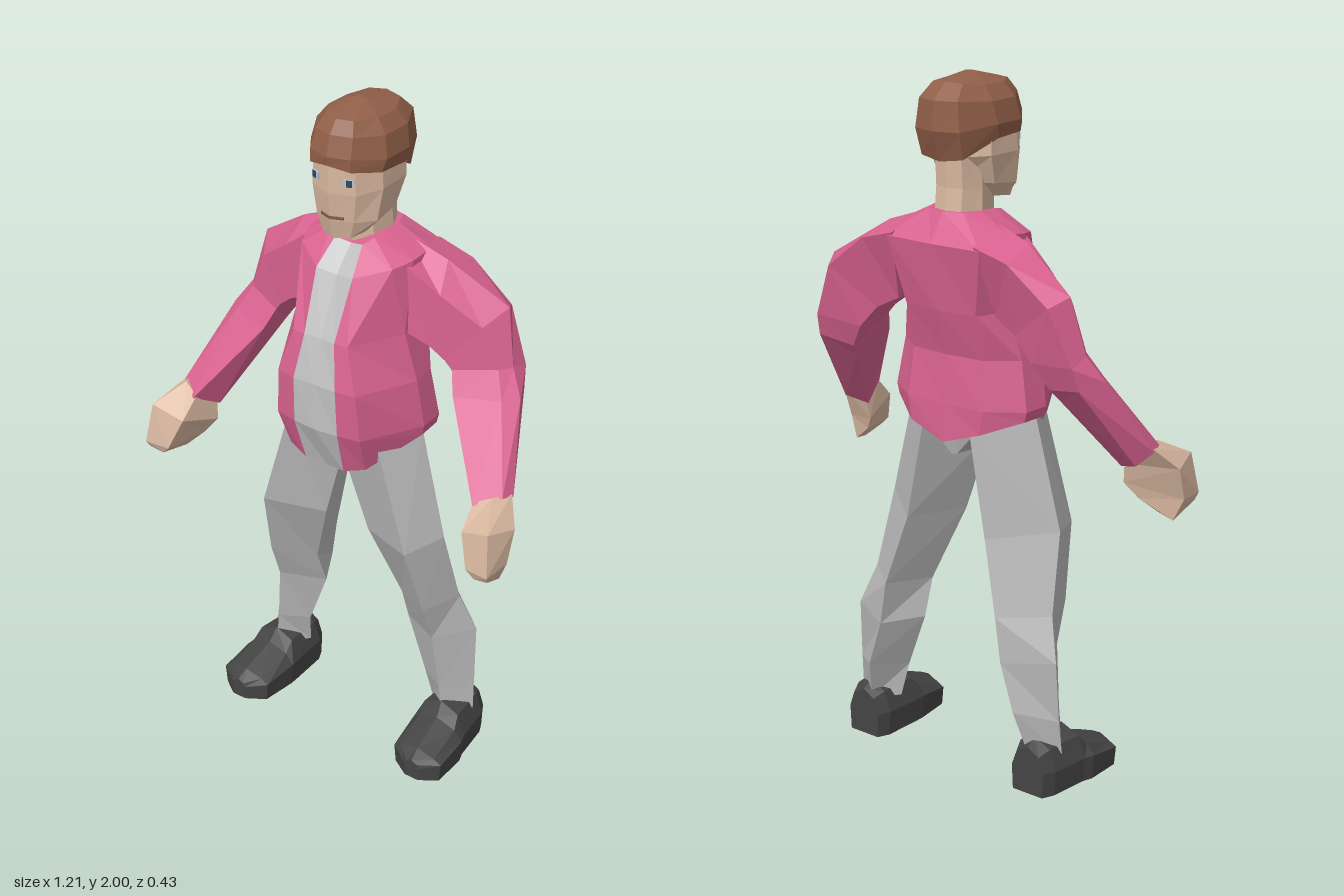
import * as THREE from 'three';

const paint = (name, color) => {
  const m = new THREE.MeshStandardMaterial({ color });
  m.name = name;
  m.flatShading = true;
  return m;
};

// Skins closed cross-sections into a solid; colMat picks a material per column
function loft(name, rings, mats, { colMat = () => 0, capMats = [0, 0], mirror = 1 } = {}) {
  const P = rings.map(r => r.map(p => new THREE.Vector3(p[0] * mirror, p[1], p[2])));
  const n = P[0].length, tris = [];
  for (let i = 0; i + 1 < P.length; i++) {
    for (let j = 0; j < n; j++) {
      const k = (j + 1) % n, m = colMat(j);
      tris.push([m, P[i][j], P[i][k], P[i + 1][k]], [m, P[i][j], P[i + 1][k], P[i + 1][j]]);
    }
  }
  [P[0], P[P.length - 1]].forEach((r, e) => {
    const c = r.reduce((s, p) => s.add(p), new THREE.Vector3()).divideScalar(n);
    for (let j = 0; j < n; j++) {
      const a = r[j], b = r[(j + 1) % n];
      tris.push(e ? [capMats[e], c, a, b] : [capMats[e], c, b, a]);
    }
  });
  // Face outwards whichever way the sections were listed
  const volume = tris.reduce((s, [, a, b, c]) => s + a.dot(b.clone().cross(c)), 0);
  const pos = [], geo = new THREE.BufferGeometry(), list = [mats].flat();
  list.forEach((_, m) => {
    const start = pos.length / 3;
    tris.filter(t => t[0] === m).forEach(([, a, b, c]) =>
      (volume < 0 ? [a, c, b] : [a, b, c]).forEach(p => pos.push(p.x, p.y, p.z)));
    geo.addGroup(start, pos.length / 3 - start, m);
  });
  geo.setAttribute('position', new THREE.Float32BufferAttribute(pos, 3));
  geo.computeVertexNormals();
  const mesh = new THREE.Mesh(geo, list.length > 1 ? list : list[0]);
  mesh.name = name;
  return mesh;
}

// Full section from its +x half, front centre to back centre
const sym = half => [...half, ...half.slice(1, -1).reverse().map(([x, y, z]) => [-x, y, z])];

export function createModel() {
  const g = new THREE.Group();
  g.name = 'standingMan';
  const jacket = paint('jacketPink', 0xd8628f), shirt = paint('shirtGrey', 0xc2c2c2);
  const trousers = paint('trouserGrey', 0xb8b8b8), skin = paint('skin', 0xd9b8a0);
  const hair = paint('hairBrown', 0x915f48), shoe = paint('shoeBlack', 0x444444);
  const eyeWhite = paint('eyeWhite', 0xb9c6d0), iris = paint('irisBlue', 0x2f4a5e);
  const lip = paint('lipBrown', 0x8a5a4c);

  // Jacket body with the shirt showing down the middle
  const torso = [
    [[0, 1.6, .01], [.045, 1.61, .02], [.07, 1.63, 0], [.08, 1.635, -.04], [.08, 1.64, -.1], [.06, 1.64, -.15], [0, 1.64, -.165]],
    [[0, 1.53, .075], [.06, 1.54, .085], [.15, 1.57, .03], [.175, 1.58, -.03], [.18, 1.59, -.11], [.16, 1.56, -.21], [0, 1.56, -.217]],
    [[0, 1.37, .148], [.05, 1.37, .155], [.09, 1.37, .15], [.18, 1.38, .01], [.18, 1.38, -.1], [.12, 1.37, -.175], [0, 1.37, -.19]],
    [[0, 1.24, .18], [.07, 1.24, .18], [.13, 1.24, .17], [.215, 1.24, 0], [.205, 1.24, -.08], [.12, 1.24, -.145], [0, 1.24, -.155]],
    [[0, 1.1, .182], [.073, 1.1, .175], [.14, 1.1, .162], [.235, 1.1, -.01], [.23, 1.1, -.09], [.13, 1.1, -.16], [0, 1.1, -.165]],
    [[0, .96, .125], [.065, .965, .135], [.13, .985, .12], [.228, 1.07, -.01], [.222, 1.07, -.09], [.12, 1.03, -.16], [0, .99, -.17]],
  ].map(sym);
  g.add(loft('jacketBody', torso, [jacket, shirt, trousers], {
    colMat: j => (j === 0 || j === 11 ? 1 : 0), capMats: [0, 2],
  }));

  // Seat of the trousers
  g.add(loft('trouserSeat', [
    [[0, 1.06, .1], [.12, 1.06, .09], [.19, 1.06, -.03], [.12, 1.06, -.14], [0, 1.06, -.15]],
    [[0, .935, .07], [.012, .938, .06], [.02, .94, -.03], [.012, .945, -.12], [0, .945, -.13]],
  ].map(sym), trousers));

  // Sleeve sections: top, front, inner, lower back, upper back
  const sleeve = [
    [[.11, 1.62, -.09], [.165, 1.57, -.01], [.175, 1.38, 0], [.17, 1.37, -.15], [.14, 1.57, -.212]],
    [[.24, 1.575, -.1], [.26, 1.5, -.035], [.235, 1.345, -.025], [.24, 1.335, -.16], [.25, 1.54, -.21]],
    [[.41, 1.465, -.145], [.37, 1.42, -.075], [.28, 1.31, -.035], [.3, 1.27, -.165], [.38, 1.44, -.205]],
    [[.445, 1.305, -.12], [.42, 1.305, -.085], [.3, 1.285, -.04], [.345, 1.2, -.145], [.445, 1.285, -.185]],
    [[.49, 1.235, -.09], [.455, 1.235, -.05], [.325, 1.225, -.01], [.36, 1.165, -.115], [.455, 1.22, -.165]],
    [[.56, 1.02, .04], [.55, 1.03, .08], [.485, 1.005, .125], [.455, .96, .04], [.52, .98, .012]],
  ];
  // Hand sections: outer back, outer front, inner front, inner back
  const hand = [
    [[.555, 1.03, .04], [.53, 1.035, .1], [.48, 1.01, .115], [.465, .97, .04]],
    [[.605, .965, .1], [.58, .985, .195], [.485, .95, .175], [.457, .91, .05]],
    [[.603, .87, .13], [.595, .865, .217], [.52, .86, .205], [.49, .865, .075]],
    [[.575, .805, .12], [.59, .845, .205], [.545, .835, .2], [.53, .825, .11]],
  ];
  // Trouser leg sections: outer, front, inner, back
  const leg = [
    [[.215, 1.08, -.03], [.15, 1.07, .1], [0, .96, .05], [.08, 1.04, -.155]],
    [[.3, .75, -.025], [.25, .735, .1], [.075, .72, .03], [.14, .73, -.16]],
    [[.32, .52, -.085], [.275, .52, .04], [.155, .5, -.03], [.2, .52, -.19]],
    [[.36, .4, -.12], [.28, .4, -.005], [.152, .39, -.07], [.22, .39, -.192]],
    [[.365, .22, -.11], [.3, .22, -.02], [.215, .22, -.07], [.265, .25, -.192]],
    [[.37, .12, -.1], [.31, .12, -.02], [.23, .12, -.09], [.29, .12, -.155]],
  ];
  // Shoe: z, centre x, half width, top height
  const foot = [
    [-.175, .305, .055, .15], [-.14, .305, .073, .168], [-.02, .31, .084, .17],
    [.01, .315, .09, .13], [.12, .322, .083, .09], [.155, .325, .025, .07],
  ].map(([z, c, w, h]) => [[-.93, .005], [.93, .005], [1, Math.min(.08, h * .7)], [.7, h * .85], [0, h], [-.7, h * .85], [-1, Math.min(.08, h * .7)]]
    .map(([x, y]) => [c + x * w, y, z]));

  // Face plate pressed onto the slanted front of the head
  const plate = (name, mat, s, x, y, z, w, h) => {
    const m = new THREE.Mesh(new THREE.BoxGeometry(w, h, .008), mat);
    m.name = name;
    m.position.set(s * x, y, z);
    m.rotation.y = s * .37;
    g.add(m);
  };

  for (const [side, mirror] of [['left', 1], ['right', -1]]) {
    g.add(loft(side + 'Sleeve', sleeve, jacket, { mirror }));
    g.add(loft(side + 'Hand', hand, skin, { mirror }));
    g.add(loft(side + 'TrouserLeg', leg, trousers, { mirror }));
    g.add(loft(side + 'Shoe', foot, shoe, { mirror }));
    plate(side + 'EyeWhite', eyeWhite, mirror, .052, 1.815, .091, .03, .02);
    plate(side + 'Iris', iris, mirror, .055, 1.815, .0915, .015, .019);
    plate(side + 'Mouth', lip, mirror, .018, 1.71, .096, .038, .008);
  }

  // Neck
  g.add(loft('neck', [
    [[0, 1.56, 0], [.06, 1.56, -.02], [.075, 1.56, -.09], [.045, 1.56, -.15], [0, 1.56, -.16]],
    [[0, 1.7, .01], [.055, 1.7, -.01], [.07, 1.7, -.08], [.045, 1.7, -.135], [0, 1.7, -.145]],
    [[0, 1.8, .01], [.055, 1.8, -.01], [.07, 1.8, -.08], [.045, 1.8, -.14], [0, 1.8, -.15]],
  ].map(sym), skin));

  // Head
  g.add(loft('head', [
    [[0, 1.645, .09], [.045, 1.65, .075], [.065, 1.66, .03], [.06, 1.665, -.02], [0, 1.665, -.03]],
    [[0, 1.7, .103], [.06, 1.7, .08], [.1, 1.7, .03], [.095, 1.71, -.06], [0, 1.71, -.1]],
    [[0, 1.78, .112], [.07, 1.78, .084], [.112, 1.79, .02], [.108, 1.79, -.09], [0, 1.78, -.155]],
    [[0, 1.87, .11], [.068, 1.87, .084], [.108, 1.87, .02], [.106, 1.87, -.09], [0, 1.87, -.16]],
  ].map(sym), skin));

  // Hair
  g.add(loft('hair', [
    [[0, 1.86, .116], [.065, 1.85, .1], [.113, 1.84, .03], [.115, 1.835, -.07], [.07, 1.785, -.165], [0, 1.775, -.175]],
    [[0, 1.885, .118], [.065, 1.885, .1], [.123, 1.875, .02], [.123, 1.875, -.08], [.075, 1.86, -.185], [0, 1.86, -.207]],
    [[0, 1.94, .1], [.06, 1.94, .083], [.11, 1.935, .01], [.11, 1.935, -.09], [.065, 1.94, -.18], [0, 1.94, -.2]],
    [[0, 1.975, .075], [.045, 1.975, .06], [.08, 1.973, 0], [.08, 1.973, -.08], [.05, 1.98, -.14], [0, 1.985, -.15]],
    [[0, 2, -.03], [.01, 2, -.032], [.018, 2, -.036], [.018, 2, -.044], [.01, 2, -.05], [0, 2, -.052]],
  ].map(sym), hair));

  return g;
}
